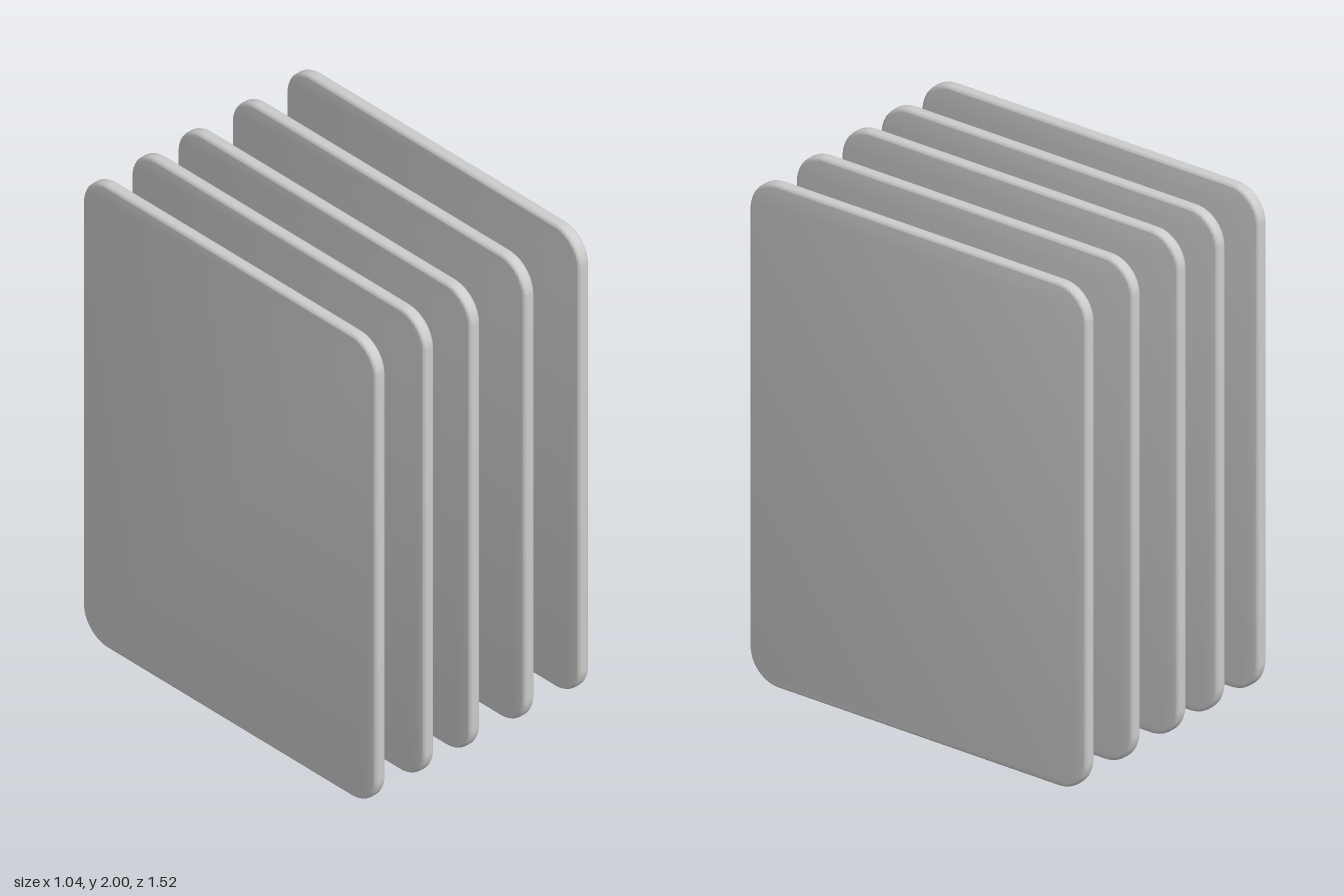
import * as THREE from 'three';
import { toCreasedNormals } from 'three/addons/utils/BufferGeometryUtils.js';

const HEIGHT = 2, DEPTH = 1.52, THICKNESS = 0.05, CORNER = 0.13;
const BEVEL_IN = 0.013, BEVEL_SIDE = 0.016;

// Rounded rectangle centred on the origin
function roundedRect(w, h, r) {
  const x = w / 2 - r, y = h / 2 - r;
  const s = new THREE.Shape();
  s.absarc(x, y, r, 0, Math.PI / 2);
  s.absarc(-x, y, r, Math.PI / 2, Math.PI);
  s.absarc(-x, -y, r, Math.PI, Math.PI * 1.5);
  s.absarc(x, -y, r, Math.PI * 1.5, Math.PI * 2);
  s.closePath();
  return s;
}

// Thin upright slab with softened rims, facing along x
function panelGeometry() {
  const outline = roundedRect(DEPTH - 2 * BEVEL_IN, HEIGHT - 2 * BEVEL_IN, CORNER - BEVEL_IN);
  const core = THICKNESS - 2 * BEVEL_SIDE;
  const geometry = new THREE.ExtrudeGeometry(outline, {
    depth: core, curveSegments: 10,
    bevelEnabled: true, bevelSize: BEVEL_IN, bevelThickness: BEVEL_SIDE, bevelSegments: 4,
  });
  geometry.translate(0, 0, -core / 2);
  geometry.rotateY(Math.PI / 2);
  return toCreasedNormals(geometry, 0.6);
}

export function createModel() {
  const model = new THREE.Group();
  model.name = 'panelRow';
  const material = new THREE.MeshStandardMaterial({ color: 0xcccccc });
  const geometry = panelGeometry();

  // Five parallel panels, slightly unevenly spaced
  [-0.497, -0.26, -0.035, 0.23, 0.497].forEach((x, i) => {
    const panel = new THREE.Mesh(geometry, material);
    panel.name = `panel${i + 1}`;
    panel.position.set(x, HEIGHT / 2, 0);
    model.add(panel);
  });
  return model;
}
